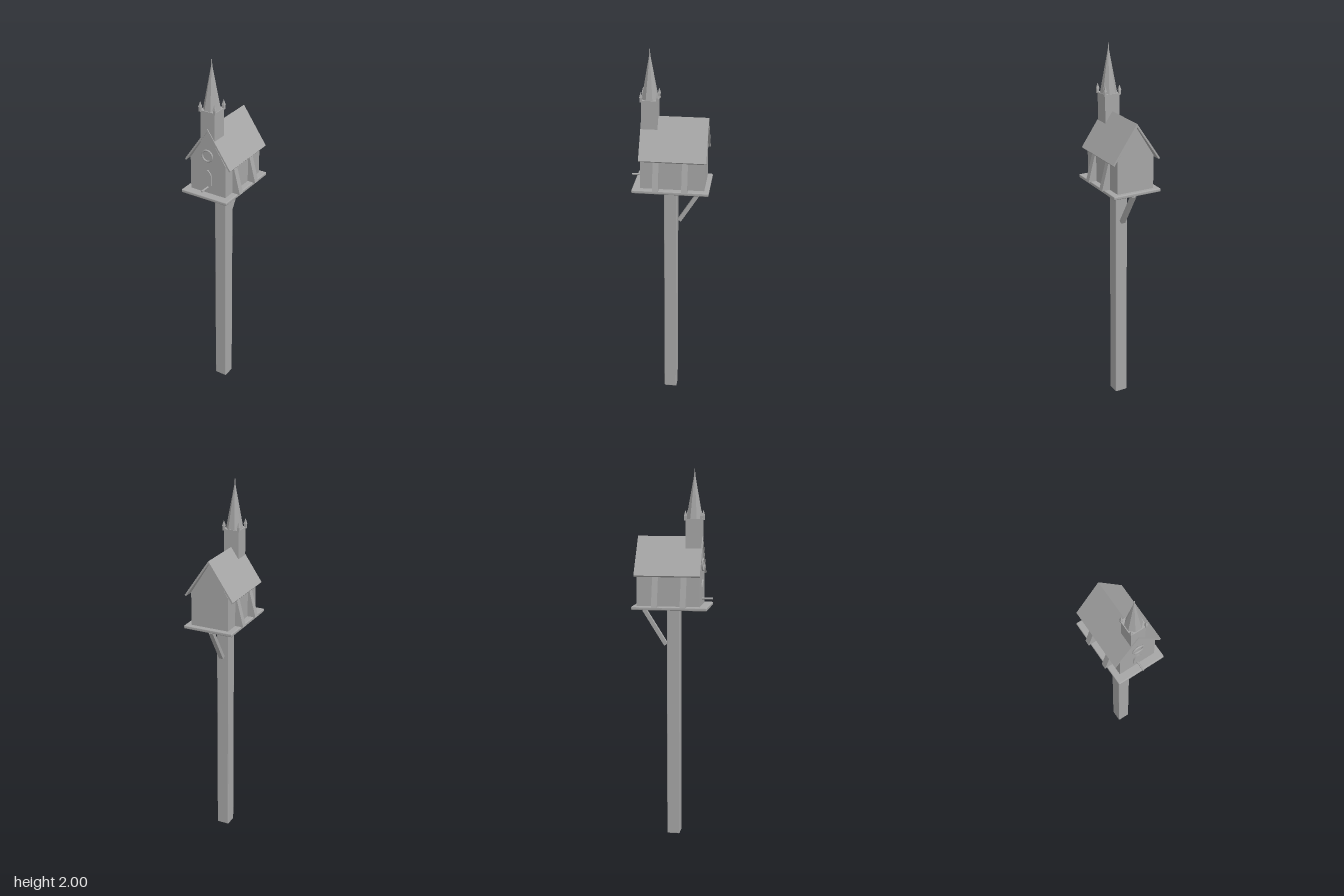
import * as THREE from 'three';
import { RoundedBoxGeometry } from 'three/addons/geometries/RoundedBoxGeometry.js';

const grey = new THREE.MeshStandardMaterial({ color: 0xa6a6a6, flatShading: true });
grey.name = 'plain grey';

function add(parent, name, geometry, x = 0, y = 0, z = 0) {
  const mesh = new THREE.Mesh(geometry, grey);
  mesh.name = name;
  mesh.position.set(x, y, z);
  parent.add(mesh);
  return mesh;
}

// Extrudes an outline of [x, y] points along +z, starting at z = 0
function prism(points, depth) {
  const shape = new THREE.Shape(points.map(([x, y]) => new THREE.Vector2(x, y)));
  return new THREE.ExtrudeGeometry(shape, { depth, bevelEnabled: false });
}

export function createModel() {
  const model = new THREE.Group();
  model.name = 'churchBirdhouse';

  // Post, platform and rear brace
  add(model, 'post', new RoundedBoxGeometry(0.07, 1.27, 0.07, 1, 0.004), 0, 0.635, 0);
  add(model, 'platform', new RoundedBoxGeometry(0.276, 0.018, 0.403, 2, 0.005), 0, 1.277, -0.0085);
  const brace = add(model, 'brace', new THREE.BoxGeometry(0.024, 0.225, 0.021), 0, 1.16, -0.105);
  brace.rotation.x = -Math.atan2(0.12, 0.19);

  // House body with gable ends
  add(model, 'houseBody', prism(
    [[-0.105, 1.285], [0.105, 1.285], [0.105, 1.465], [0, 1.63], [-0.105, 1.465]], 0.335), 0, 0, -0.185);

  // Roof boards meeting at the ridge
  add(model, 'roof', prism(
    [[0, 1.65], [-0.137, 1.45], [-0.131, 1.443], [0, 1.633], [0.131, 1.443], [0.137, 1.45]], 0.351), 0, 0, -0.196);

  // Sloping buttresses along both side walls
  for (const side of [-1, 1]) {
    for (const z of [-0.085, 0.067]) {
      const outline = [[0.1, 1.285], [0.151, 1.285], [0.106, 1.46], [0.1, 1.46]]
        .map(([x, y]) => [x * side, y]);
      add(model, 'buttress', prism(outline, 0.031), 0, 0, z - 0.0155);
    }
  }

  // Round window: ring and thin pane
  add(model, 'windowRing', new THREE.TorusGeometry(0.03, 0.005, 8, 32), 0, 1.5, 0.155);
  add(model, 'windowPane', new THREE.CircleGeometry(0.03, 32), 0, 1.5, 0.152);

  // Pointed-arch door
  const door = new THREE.Shape();
  door.moveTo(-0.024, 1.335);
  door.lineTo(0.024, 1.335);
  door.lineTo(0.024, 1.385);
  door.quadraticCurveTo(0.021, 1.405, 0, 1.42);
  door.quadraticCurveTo(-0.021, 1.405, -0.024, 1.385);
  door.closePath();
  add(model, 'door', new THREE.ExtrudeGeometry(door, { depth: 0.007, bevelEnabled: false, curveSegments: 6 }), 0, 0, 0.15);

  // Perch below the door
  const perch = add(model, 'perch', new THREE.CylinderGeometry(0.005, 0.005, 0.06, 10), 0, 1.32, 0.178);
  perch.rotation.x = Math.PI / 2;

  // Steeple over the front gable
  const steeple = new THREE.Group();
  steeple.name = 'steeple';
  steeple.position.z = 0.108;
  model.add(steeple);
  add(steeple, 'tower', new THREE.BoxGeometry(0.084, 0.24, 0.084), 0, 1.62, 0);
  add(steeple, 'towerCap', new THREE.BoxGeometry(0.092, 0.008, 0.092), 0, 1.738, 0);
  const spire = add(steeple, 'spire', new THREE.ConeGeometry(0.045, 0.244, 8), 0, 1.864, 0);
  spire.rotation.y = Math.PI / 8;
  add(steeple, 'finial', new THREE.CylinderGeometry(0.002, 0.003, 0.03, 6), 0, 1.985, 0);

  // Pinnacles on the tower corners
  for (const x of [-0.042, 0.042]) {
    for (const z of [-0.042, 0.042]) {
      add(steeple, 'pinnacleBase', new THREE.BoxGeometry(0.012, 0.024, 0.012), x, 1.746, z);
      const tip = add(steeple, 'pinnacleTip', new THREE.ConeGeometry(0.011, 0.03, 4), x, 1.773, z);
      tip.rotation.y = Math.PI / 4;
    }
  }

  return model;
}
